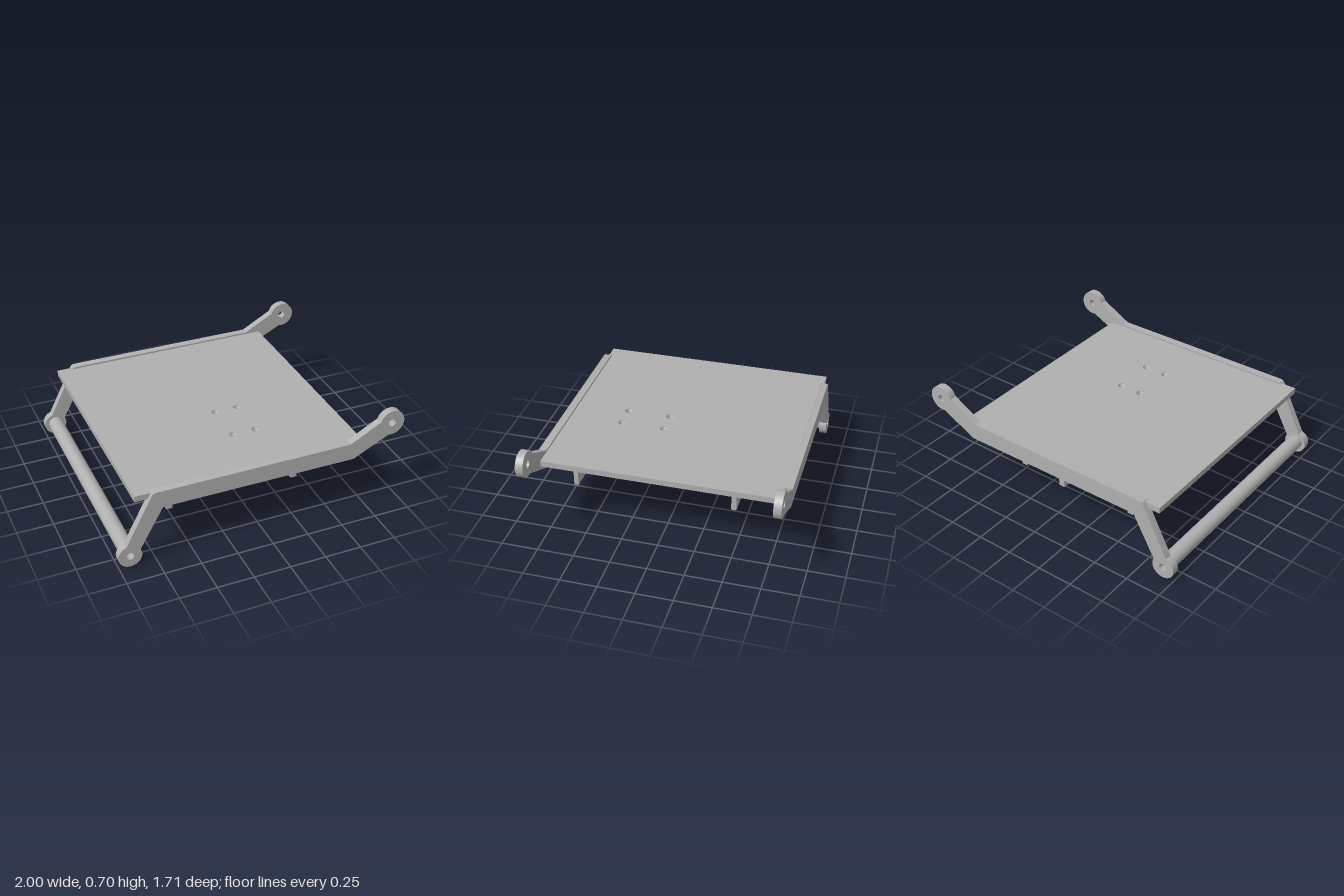
import * as THREE from 'three';
import { toCreasedNormals } from 'three/addons/utils/BufferGeometryUtils.js';

const TOP = 0.466; // underside of the plate, where all ribs attach

export function createModel() {
  const group = new THREE.Group();
  const grey = new THREE.MeshStandardMaterial({ color: 0xb0b0b0 });
  grey.name = 'plain grey';

  function add(name, geometry) {
    const mesh = new THREE.Mesh(geometry, grey);
    mesh.name = name;
    group.add(mesh);
    return mesh;
  }

  // Box given by its limits on each axis
  function block(name, x0, x1, y0, y1, z0, z1) {
    add(name, new THREE.BoxGeometry(x1 - x0, y1 - y0, z1 - z0))
      .position.set((x0 + x1) / 2, (y0 + y1) / 2, (z0 + z1) / 2);
  }

  function circle(x, y, r) {
    return new THREE.Path().absarc(x, y, r, 0, Math.PI * 2, true);
  }

  function extrude(shape, depth) {
    const g = new THREE.ExtrudeGeometry(shape, { depth, bevelEnabled: false, curveSegments: 40 });
    return toCreasedNormals(g, 0.5);
  }

  // Cranked side arms with an eye at each end
  const low = { x: -0.922, y: 0.079, r: 0.079 };
  const high = { x: 0.91, y: 0.612, r: 0.089 };
  const arm = new THREE.Shape();
  arm.moveTo(-0.695, 0.4);
  arm.lineTo(0.638, 0.4);
  arm.absarc(high.x, high.y, high.r, -1.8, 2.85, false);
  arm.lineTo(0.61, 0.52);
  arm.lineTo(-0.74, 0.52);
  arm.lineTo(-0.757, 0.514);
  arm.lineTo(-0.768, 0.5);
  arm.absarc(low.x, low.y, low.r, 1.87, Math.PI * 2 + 0.5, false);
  arm.closePath();
  arm.holes.push(circle(low.x, low.y, 0.026), circle(high.x, high.y, 0.026));
  for (const [name, z] of [['leftArm', 0.802], ['rightArm', -0.854]]) {
    add(name, extrude(arm, 0.052)).position.z = z;
  }

  // Hollow cross tube between the lower eyes
  const ring = new THREE.Shape().absarc(low.x, 0.082, 0.053, 0, Math.PI * 2, false);
  ring.holes.push(circle(low.x, low.y, 0.026));
  add('crossTube', extrude(ring, 1.604)).position.z = -0.802;

  // Deck plate with small ears and four holes (shape y becomes -z)
  const plate = new THREE.Shape([
    [-0.87, -0.825], [-0.76, -0.825], [-0.76, -0.803], [0.718, -0.803],
    [0.718, 0.803], [-0.76, 0.803], [-0.76, 0.825], [-0.87, 0.825],
  ].map(([x, y]) => new THREE.Vector2(x, y)));
  const holes = [];
  for (const x of [-0.035, 0.125]) for (const z of [0.13, 0.43]) holes.push([x, z]);
  for (const [x, z] of holes) plate.holes.push(circle(x, -z, 0.028));
  const deck = add('deckPlate', extrude(plate, 0.041));
  deck.rotation.x = -Math.PI / 2;
  deck.position.y = TOP;

  // Countersunk seats in the holes
  const seat = toCreasedNormals(new THREE.LatheGeometry([
    [0.016, 0.015], [0.016, 0], [0.0285, 0], [0.0285, 0.038], [0.016, 0.015],
  ].map(([r, y]) => new THREE.Vector2(r, y)), 32), 0.5);
  for (const [x, z] of holes) add('countersink', seat).position.set(x, TOP, z);

  // Long stiffeners under the deck
  block('leftBeam', -0.73, 0.638, 0.304, TOP, 0.575, 0.606);
  block('rightBeam', -0.73, 0.638, 0.304, TOP, -0.5, -0.466);
  block('leftStrip', -0.7, 0.6, 0.385, TOP, 0.608, 0.64);
  block('rightStrip', -0.7, 0.6, 0.385, TOP, -0.635, -0.602);

  // Cross ribs
  for (const x of [-0.638, 0.225]) {
    block('crossRib', x - 0.021, x + 0.021, 0.34, TOP, -0.81, 0.81);
  }
  block('deepRib', -0.112, -0.068, 0.304, TOP, -0.81, -0.07);
  block('shallowRib', -0.112, -0.068, 0.405, TOP, -0.07, 0.575);

  return group;
}
